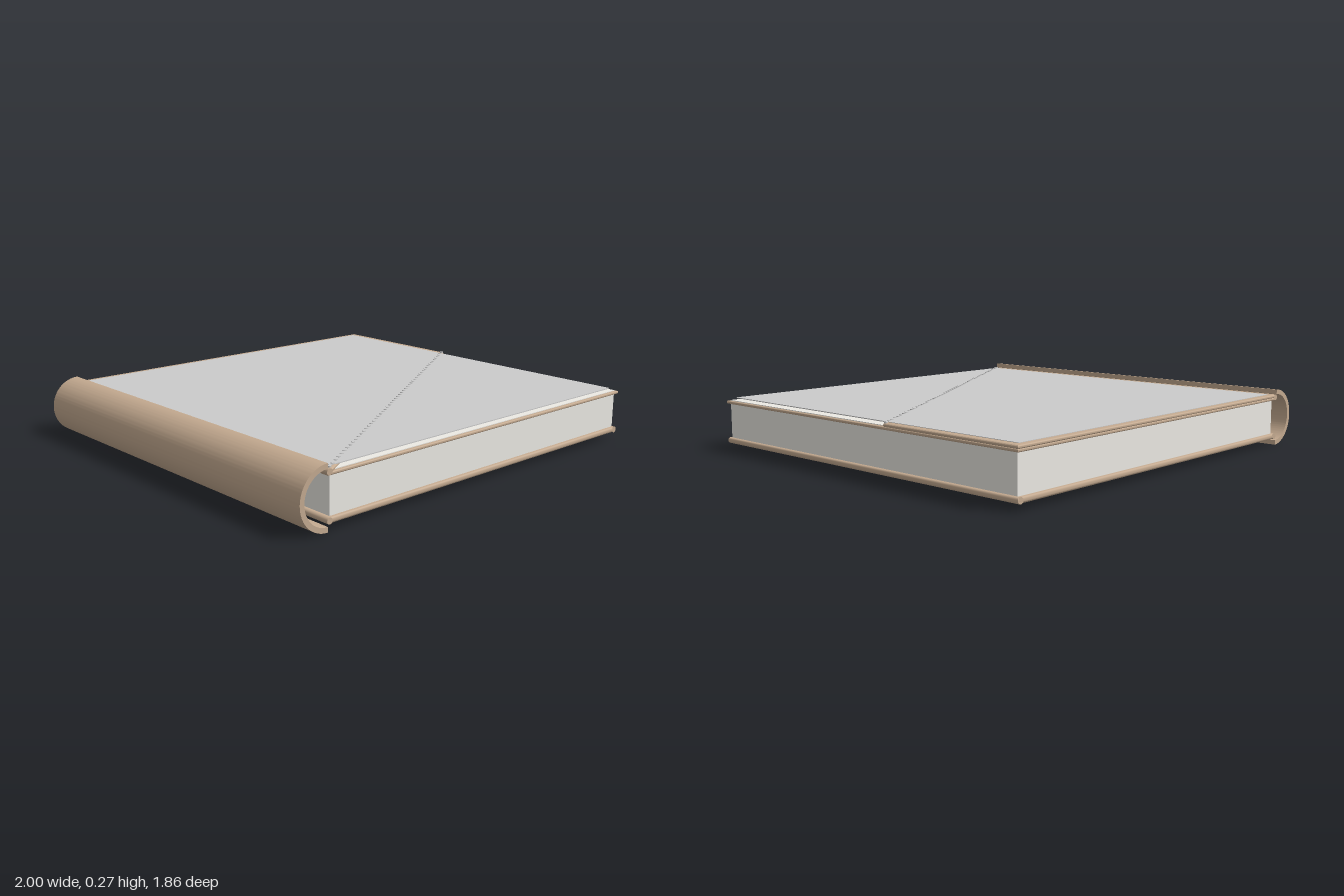
import * as THREE from 'three';
import { toCreasedNormals } from 'three/addons/utils/BufferGeometryUtils.js';

const leather = new THREE.MeshStandardMaterial({ color: 0xc4aa90 });
const paper = new THREE.MeshStandardMaterial({ color: 0xeceae4 });
const grey = new THREE.MeshStandardMaterial({ color: 0xcccccc });

const DEPTH = 0.93; // half depth of spine and boards
const LEFT = -0.865, RIGHT = 0.995;

export function createModel() {
  const book = new THREE.Group();
  book.name = 'book';

  const add = (name, geometry, material, x = 0, y = 0, z = 0) => {
    const mesh = new THREE.Mesh(geometry, material);
    mesh.name = name;
    mesh.position.set(x, y, z);
    book.add(mesh);
    return mesh;
  };

  // Horizontal slab from an outline of [x, z] corners, with rounded rims
  const slab = (corners, y0, y1, bevel) => {
    const shape = new THREE.Shape(corners.map(([x, z]) => new THREE.Vector2(x, -z)));
    const g = new THREE.ExtrudeGeometry(shape, {
      depth: y1 - y0 - 2 * bevel,
      bevelEnabled: bevel > 0,
      bevelSize: bevel, bevelThickness: bevel, bevelOffset: -bevel, bevelSegments: 4,
    });
    g.translate(0, 0, bevel).rotateX(-Math.PI / 2).translate(0, y0, 0);
    return toCreasedNormals(g, 0.6);
  };

  const box = (name, material, x0, x1, y0, y1, z) =>
    add(name, new THREE.BoxGeometry(x1 - x0, y1 - y0, 2 * z), material, (x0 + x1) / 2, (y0 + y1) / 2, 0);

  // Half-round hollow spine
  const ring = new THREE.Shape();
  ring.absarc(0, 0, 0.135, Math.PI / 2, Math.PI * 1.5, false);
  ring.absarc(0, 0, 0.113, Math.PI * 1.5, Math.PI / 2, true);
  const spine = new THREE.ExtrudeGeometry(ring, { depth: 2 * DEPTH, bevelEnabled: false, curveSegments: 32 });
  add('spine', toCreasedNormals(spine, 0.6), leather, -0.865, 0.135, -DEPTH);

  // Page block
  box('pages', paper, -0.845, 0.982, 0.05, 0.222, 0.915);

  // Boards: the upper one is split into a full base and a cut-away top layer
  const full = [[LEFT, DEPTH], [RIGHT, DEPTH], [RIGHT, -DEPTH], [LEFT, -DEPTH]];
  add('backBoard', slab(full, 0.03, 0.056, 0.01), leather);
  add('frontBoardBase', slab(full, 0.219, 0.233, 0.006), leather);
  add('frontBoardTop', slab([
    [LEFT, DEPTH], [-0.84, DEPTH], [RIGHT, -0.2], [RIGHT, -DEPTH], [LEFT, -DEPTH],
  ], 0.231, 0.246, 0.006), leather);

  // Pale lining seen in the cut-away corner
  add('cornerLining', slab([[-0.82, 0.916], [0.982, 0.916], [0.982, -0.19]], 0.232, 0.236, 0), paper);

  // Cover panel
  box('coverPanel', grey, -0.83, 0.96, 0.244, 0.248, 0.9);

  // Rounded hinge and fore-edge beads along both boards
  for (const y of [0.043, 0.234]) {
    for (const x of [-0.855, 0.981]) {
      if (x > 0 && y > 0.2) continue;
      const bead = add('edgeBead', new THREE.CylinderGeometry(0.014, 0.014, 2 * DEPTH, 16), leather, x, y, 0);
      bead.rotation.x = Math.PI / 2;
    }
  }

  // Row of stitches across the cover
  const start = new THREE.Vector3(-0.84, 0.248, 0.91);
  const end = new THREE.Vector3(0.98, 0.248, -0.2);
  const stitch = new THREE.CylinderGeometry(0.008, 0.008, 0.006, 10);
  const count = 54;
  for (let i = 0; i < count; i++) {
    const p = start.clone().lerp(end, i / (count - 1));
    add('stitch', stitch, grey, p.x, p.y, p.z);
  }

  return book;
}
